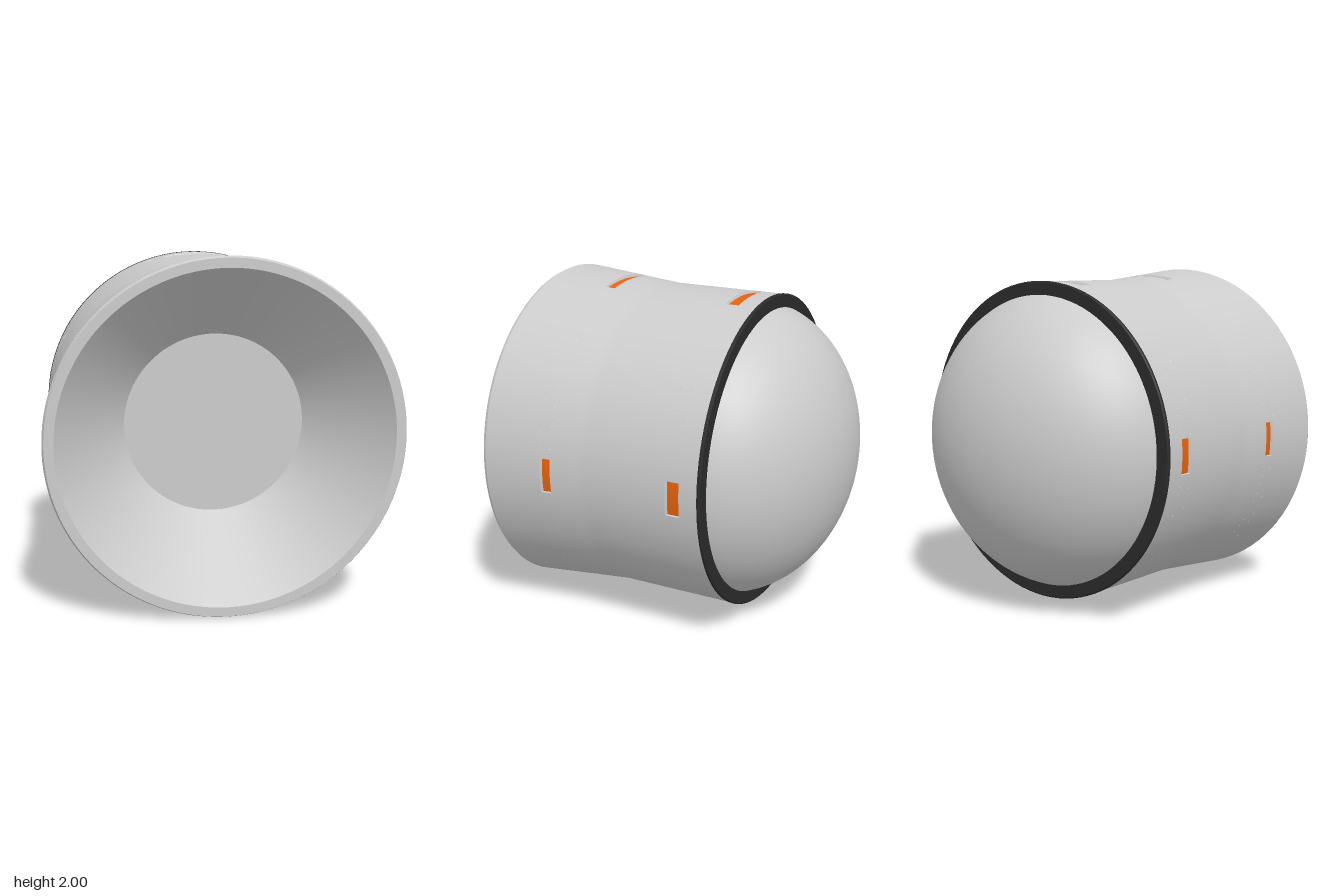
import * as THREE from 'three';
import { mergeGeometries } from 'three/addons/utils/BufferGeometryUtils.js';

const TAU = Math.PI * 2;
const grey = new THREE.MeshStandardMaterial({ color: 0xcccccc });
const greyThin = new THREE.MeshStandardMaterial({ color: 0xcccccc, side: THREE.DoubleSide });
const orange = new THREE.MeshStandardMaterial({ color: 0xe8620c });
const dark = new THREE.MeshStandardMaterial({ color: 0x2b2b2b });

// Outer radius of the body: straight at the back, flaring to the mouth
const skinR = (z) => 0.94 + 0.06 * Math.max(0, (z - 0.3) / 0.62);

// Turned surface about the z axis from [radius, z] pairs, running back to front
function turn(points, start = 0, length = TAU) {
  const segments = Math.max(4, Math.ceil((length / TAU) * 96));
  const profile = points.map(([r, z]) => new THREE.Vector2(r, z));
  return new THREE.LatheGeometry(profile, segments, start, length);
}

// The same, with a sharp edge at every profile point
const turnSharp = (points, start, length) => mergeGeometries(
  points.slice(1).map((p, i) => turn([points[i], p], start, length)));

function skinProfile(z0, z1) {
  const zs = [z0, ...[0.26, 0.3, 0.34].filter((z) => z > z0 && z < z1), z1];
  return zs.map((z) => [skinR(z), z]);
}

export function createModel() {
  const model = new THREE.Group();
  const axis = new THREE.Group();
  axis.name = 'housing';
  axis.rotation.x = Math.PI / 2;
  axis.position.y = 1;
  model.add(axis);

  const add = (name, geometry, material) => {
    const mesh = new THREE.Mesh(geometry, material);
    mesh.name = name;
    axis.add(mesh);
  };

  // Outer shell: full bands between the two rows of slots
  const rows = [[-0.31, -0.225], [0.505, 0.57]];
  const skin = [[-0.42, -0.31], [-0.225, 0.505], [0.57, 0.92]]
    .map(([a, b]) => turn(skinProfile(a, b)));

  // Slot rows: shell panels with four recessed orange windows each
  const halfAngle = (k) => (k % 2 ? 0.107 : 0.213);
  const depth = 0.015;
  const bevel = 0.007;
  for (const [z0, z1] of rows) {
    for (let k = 0; k < 4; k++) {
      const half = halfAngle(k);
      const start = (k * Math.PI) / 2 - half;
      const end = start + 2 * half;
      const gap = Math.PI / 2 - half - halfAngle(k + 1);
      skin.push(turn(skinProfile(z0, z1), end, gap));

      const a = [skinR(z0), z0];
      const b = [skinR(z0) - depth, z0 + bevel];
      const c = [skinR(z1) - depth, z1 - bevel];
      const d = [skinR(z1), z1];
      const walls = [turn([a, b], start, 2 * half), turn([c, d], start, 2 * half)];
      // End walls of the slot
      for (const phi of [start, end]) {
        const shape = new THREE.Shape([a, b, c, d].map(([r, z]) => new THREE.Vector2(r, z)));
        walls.push(new THREE.ShapeGeometry(shape).rotateY(phi - Math.PI / 2));
      }
      add('slotWalls', mergeGeometries(walls), greyThin);
      add('slotWindow', turn([b, c], start, 2 * half), orange);
    }
  }
  add('outerShell', mergeGeometries(skin), grey);

  // Mouth rim, funnel and the flat disc at its bottom
  add('mouthRim', turnSharp([[1, 0.92], [0.99, 0.94], [0.937, 0.94]]), grey);
  add('funnel', turn([[0.937, 0.94], [0.525, 0.43]]), grey);
  add('funnelDisc', turn([[0.525, 0.43], [0, 0.43]]), grey);

  // Dark ring at the back edge
  add('backRing', turnSharp([
    [0.85, -0.438], [0.935, -0.438], [0.943, -0.432], [0.943, -0.42], [0.938, -0.418],
  ]), dark);

  // Flattened dome behind the ring
  const dome = [];
  for (let i = 0; i <= 24; i++) {
    const t = (i / 24) * 1.32;
    dome.push([0.9 * Math.sin(t), -0.24 - 0.7 * Math.cos(t)]);
  }
  add('dome', turn(dome), grey);

  return model;
}
